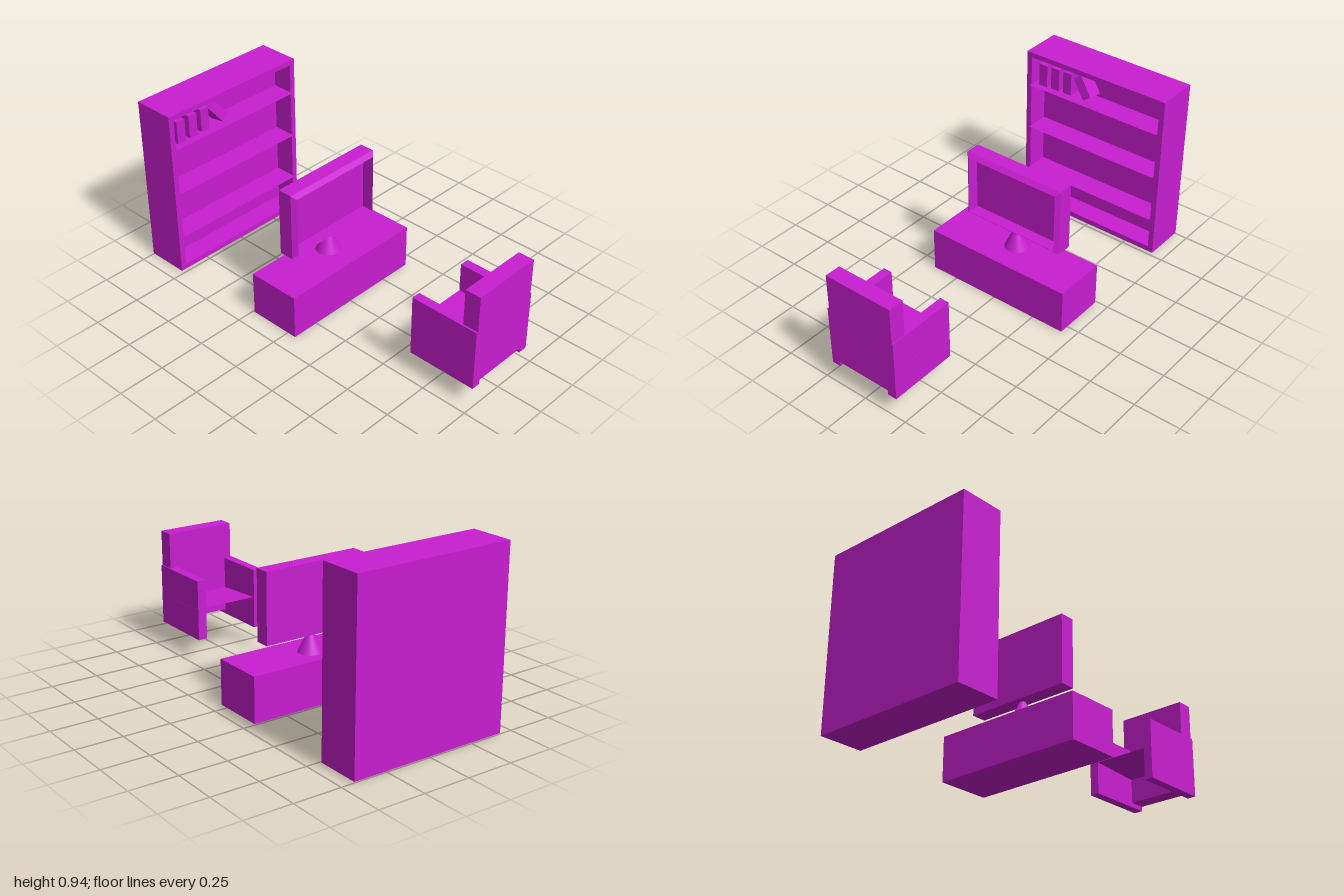
import * as THREE from 'three';

const material = new THREE.MeshStandardMaterial({ color: 0xc81ed0, side: THREE.DoubleSide });

function add(parent, name, geometry) {
  const mesh = new THREE.Mesh(geometry, material);
  mesh.name = name;
  parent.add(mesh);
  return mesh;
}

// Box given by its extents along each axis
function box(parent, name, [x0, x1], [y0, y1], [z0, z1]) {
  const mesh = add(parent, name, new THREE.BoxGeometry(x1 - x0, y1 - y0, z1 - z0));
  mesh.position.set((x0 + x1) / 2, (y0 + y1) / 2, (z0 + z1) / 2);
  return mesh;
}

// Closed skin over rectangular sections [x, y0, y1, z0, z1], flat faced
function rectLoft(sections) {
  const rings = sections.map(([x, y0, y1, z0, z1]) =>
    [[x, y0, z1], [x, y0, z0], [x, y1, z0], [x, y1, z1]]);
  const pos = [];
  const quad = (a, b, c, d) => pos.push(...a, ...b, ...c, ...a, ...c, ...d);
  const first = rings[0], last = rings[rings.length - 1];
  quad(first[3], first[2], first[1], first[0]);
  for (let i = 0; i < rings.length - 1; i++) {
    for (let k = 0; k < 4; k++) {
      const n = (k + 1) % 4;
      quad(rings[i][k], rings[i][n], rings[i + 1][n], rings[i + 1][k]);
    }
  }
  quad(...last);
  const geometry = new THREE.BufferGeometry();
  geometry.setAttribute('position', new THREE.Float32BufferAttribute(pos, 3));
  geometry.computeVertexNormals();
  return geometry;
}

// Thin horizontal sheet
function sheet(parent, name, [x0, x1], y, [z0, z1]) {
  const mesh = add(parent, name, new THREE.PlaneGeometry(x1 - x0, z1 - z0).rotateX(-Math.PI / 2));
  mesh.position.set((x0 + x1) / 2, y, (z0 + z1) / 2);
  return mesh;
}

function group(parent, name) {
  const g = new THREE.Group();
  g.name = name;
  parent.add(g);
  return g;
}

export function createModel() {
  const model = new THREE.Group();
  model.name = 'livingRoomFurniture';

  // Bookcase: recessed case opening towards +x
  const bookcase = group(model, 'bookcase');
  add(bookcase, 'case', rectLoft([
    [-1, 0.005, 0.935, -0.43, 0.43],
    [-0.767, 0.005, 0.935, -0.43, 0.43],
    [-0.767, 0.035, 0.907, -0.4, 0.4],
    [-0.885, 0.035, 0.907, -0.4, 0.4],
  ]));
  for (const y of [0.745, 0.485, 0.22]) sheet(bookcase, 'shelf', [-0.885, -0.752], y, [-0.4, 0.4]);

  // Three upright books and one leaning
  for (let i = 0; i < 3; i++) {
    const z = 0.34 - i * 0.078, y = 0.746 + i * 0.003;
    box(bookcase, 'book', [-0.88, -0.79], [y, y + 0.125], [z - 0.026, z + 0.026]);
  }
  const leaning = box(bookcase, 'leaningBook', [-0.88, -0.79], [0.752, 0.877], [0.062, 0.114]);
  leaning.rotation.set(0.65, 0, 0.16, 'ZYX');

  // Low cabinet with the television on a conical foot
  const media = group(model, 'televisionUnit');
  box(media, 'cabinet', [-0.24, 0.05], [0, 0.24], [-0.43, 0.4]);
  const foot = add(media, 'televisionFoot', new THREE.ConeGeometry(0.065, 0.135, 32));
  foot.position.set(-0.12, 0.3075, -0.015);
  // Housing with a chamfered rim and a sunken screen
  add(media, 'television', rectLoft([
    [-0.165, 0.342, 0.711, -0.305, 0.275],
    [-0.085, 0.342, 0.711, -0.305, 0.275],
    [-0.063, 0.364, 0.69, -0.284, 0.253],
    [-0.13, 0.364, 0.69, -0.284, 0.253],
  ]));

  // Armchair facing -x
  const chair = group(model, 'armchair');
  box(chair, 'arm', [0.625, 1], [0.115, 0.442], [0.152, 0.2]);
  box(chair, 'arm', [0.625, 1], [0.115, 0.442], [-0.202, -0.152]);
  box(chair, 'backrest', [0.915, 1], [0.14, 0.635], [-0.195, 0.19]);
  const seat = sheet(chair, 'seat', [0.626, 0.92], 0.28, [-0.203, 0.19]);
  seat.rotation.z = -0.06;

  return model;
}
